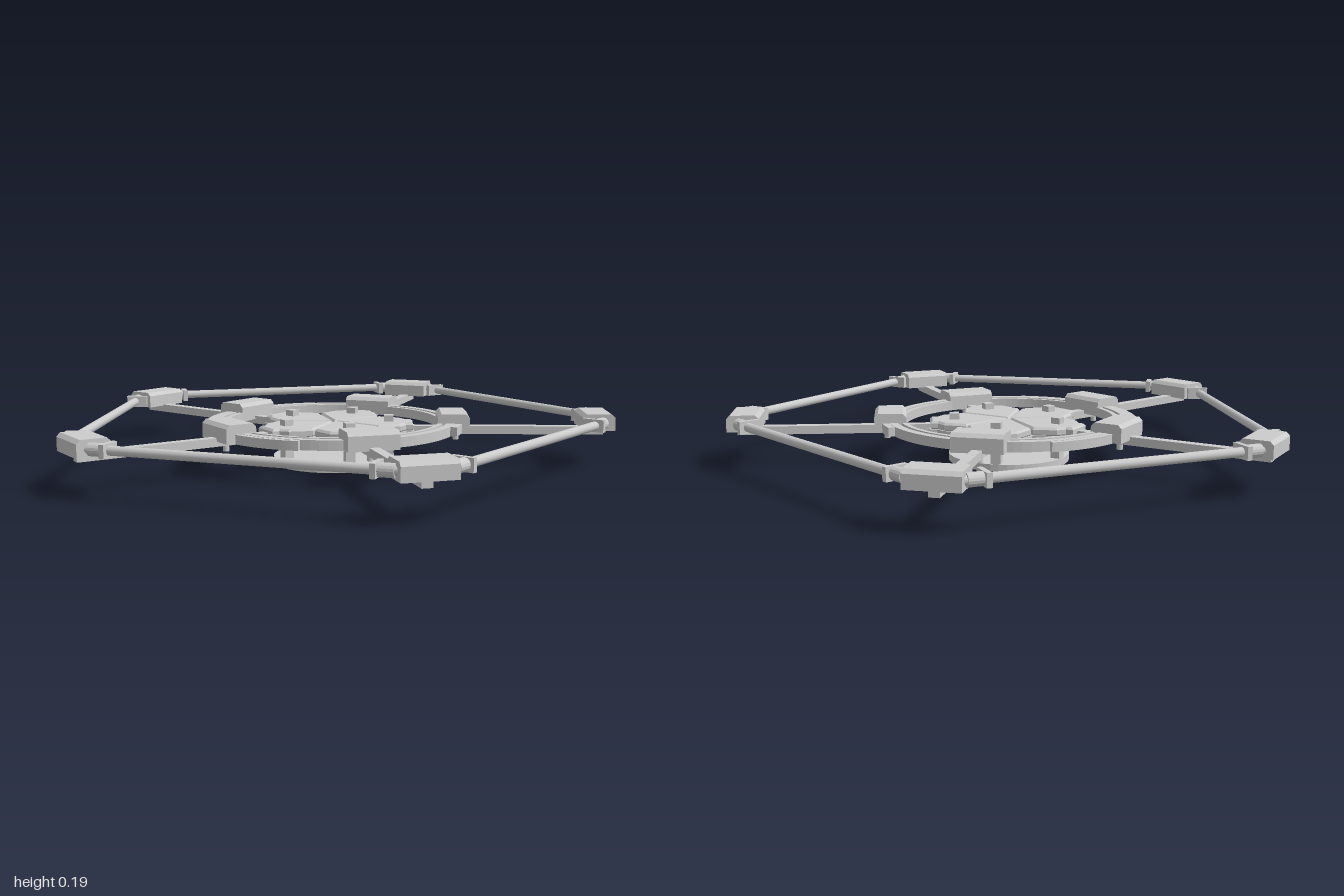
import * as THREE from 'three';

const material = new THREE.MeshStandardMaterial({ color: 0xcccccc, flatShading: true });
const smooth = new THREE.MeshStandardMaterial({ color: 0xcccccc });
const STEP = (Math.PI * 2) / 5;
const CORNER_R = 0.96, POD_R = 0.437, POST_R = 0.203, BAR_R = 0.84;

function add(parent, name, geometry, x = 0, y = 0, z = 0, mat = material) {
  const mesh = new THREE.Mesh(geometry, mat);
  mesh.name = name;
  mesh.position.set(x, y, z);
  parent.add(mesh);
  return mesh;
}

// Flat slab lying in the xz plane, rising from y = 0
function slab(shape, depth, bevel = 0) {
  return new THREE.ExtrudeGeometry(shape, {
    depth: depth - bevel, bevelEnabled: bevel > 0, bevelThickness: bevel,
    bevelSize: bevel, bevelOffset: -bevel, bevelSegments: 1, curveSegments: 48,
  }).rotateX(-Math.PI / 2);
}

function polygon(points) {
  return new THREE.Shape(points.map(([x, y]) => new THREE.Vector2(x, y)));
}

// Block with chamfered top edges, its long side along z
function podGeometry(bottom, top) {
  const w = 0.0575, c = 0.013, len = 0.18;
  const profile = polygon([
    [-w, bottom], [w, bottom], [w, top - c], [w - c, top], [-w + c, top], [-w, top - c],
  ]);
  return new THREE.ExtrudeGeometry(profile, { depth: len, bevelEnabled: false }).translate(0, 0, -len / 2);
}

// Ring sector between two radii and two angles
function sector(inner, outer, from, to) {
  const s = new THREE.Shape();
  s.absarc(0, 0, outer, from, to, false);
  s.absarc(0, 0, inner, to, from, true);
  return s;
}

function ring(inner, outer) {
  const s = new THREE.Shape();
  s.absarc(0, 0, outer, 0, Math.PI * 2, false);
  const hole = new THREE.Path();
  hole.absarc(0, 0, inner, 0, Math.PI * 2, true);
  s.holes.push(hole);
  return s;
}

// One fifth of the star-shaped hub
function lobe() {
  const n = 0.205, a = Math.PI / 5;
  const nx = n * Math.cos(a), ny = n * Math.sin(a);
  return polygon([
    [0, 0], [nx, -ny], [0.247, -0.087], [0.268, -0.055], [0.295, -0.052],
    [0.295, 0.052], [0.268, 0.055], [0.247, 0.087], [nx, ny],
  ]);
}

export function createModel() {
  const model = new THREE.Group();
  model.name = 'pentagonFrame';
  const body = new THREE.Group();
  body.name = 'frameBody';
  body.position.x = -0.068;
  model.add(body);

  // Foot disc
  add(body, 'footDisc', new THREE.CylinderGeometry(0.224, 0.224, 0.026, 48), 0, 0.013, 0);

  // Concentric rings with wider outer sections
  add(body, 'innerRing', slab(ring(0.388, 0.406), 0.035), 0, 0.122, 0);
  add(body, 'outerRing', slab(ring(0.42, 0.45), 0.035), 0, 0.122, 0);
  const deg = Math.PI / 180;
  add(body, 'outerRingLongRim', slab(sector(0.44, 0.47, 102 * deg, 258 * deg), 0.033), 0, 0.123, 0);
  add(body, 'outerRingShortRim', slab(sector(0.44, 0.475, -21 * deg, 21 * deg), 0.033), 0, 0.123, 0);

  const cornerPod = podGeometry(0.132, 0.192);
  const innerPod = podGeometry(0.125, 0.19);
  const base = slab(lobe(), 0.02);
  const plate = slab(lobe(), 0.025, 0.008);

  for (let i = 0; i < 5; i++) {
    // Spoke with everything along it
    const arm = new THREE.Group();
    arm.name = 'arm' + (i + 1);
    arm.rotation.y = i * STEP;
    body.add(arm);
    add(arm, 'spoke', new THREE.BoxGeometry(0.74, 0.03, 0.035), 0.62, 0.122, 0);
    add(arm, 'cornerBlock', cornerPod, CORNER_R, 0, 0);
    add(arm, 'ringBlock', innerPod, POD_R, 0, 0);
    add(arm, 'ringPin', new THREE.CylinderGeometry(0.011, 0.011, 0.03, 12), 0.45, 0.1, 0, smooth);
    add(arm, 'hubBase', base, 0, 0.104, 0);
    const top = add(arm, 'hubPlate', plate, 0.004, 0.128, 0);
    top.scale.set(0.975, 1, 0.965);
    add(arm, 'post', new THREE.BoxGeometry(0.035, 0.155, 0.035), POST_R, 0.0975, 0);

    // Outer bar between neighbouring corners
    const side = new THREE.Group();
    side.name = 'side' + (i + 1);
    side.rotation.y = (i + 0.5) * STEP;
    body.add(side);
    const rod = new THREE.CylinderGeometry(0.016, 0.016, 1.04, 16).rotateX(Math.PI / 2);
    add(side, 'outerBar', rod, BAR_R, 0.16, 0, smooth);
    for (const s of [-1, 1]) {
      add(side, 'barClamp', new THREE.BoxGeometry(0.08, 0.045, 0.018), BAR_R + 0.008 - 0.016, 0.16, s * 0.44);
      const collar = new THREE.CylinderGeometry(0.022, 0.022, 0.06, 16).rotateX(Math.PI / 2);
      add(side, 'barCollar', collar, BAR_R, 0.16, s * 0.47);
    }
  }
  return model;
}
